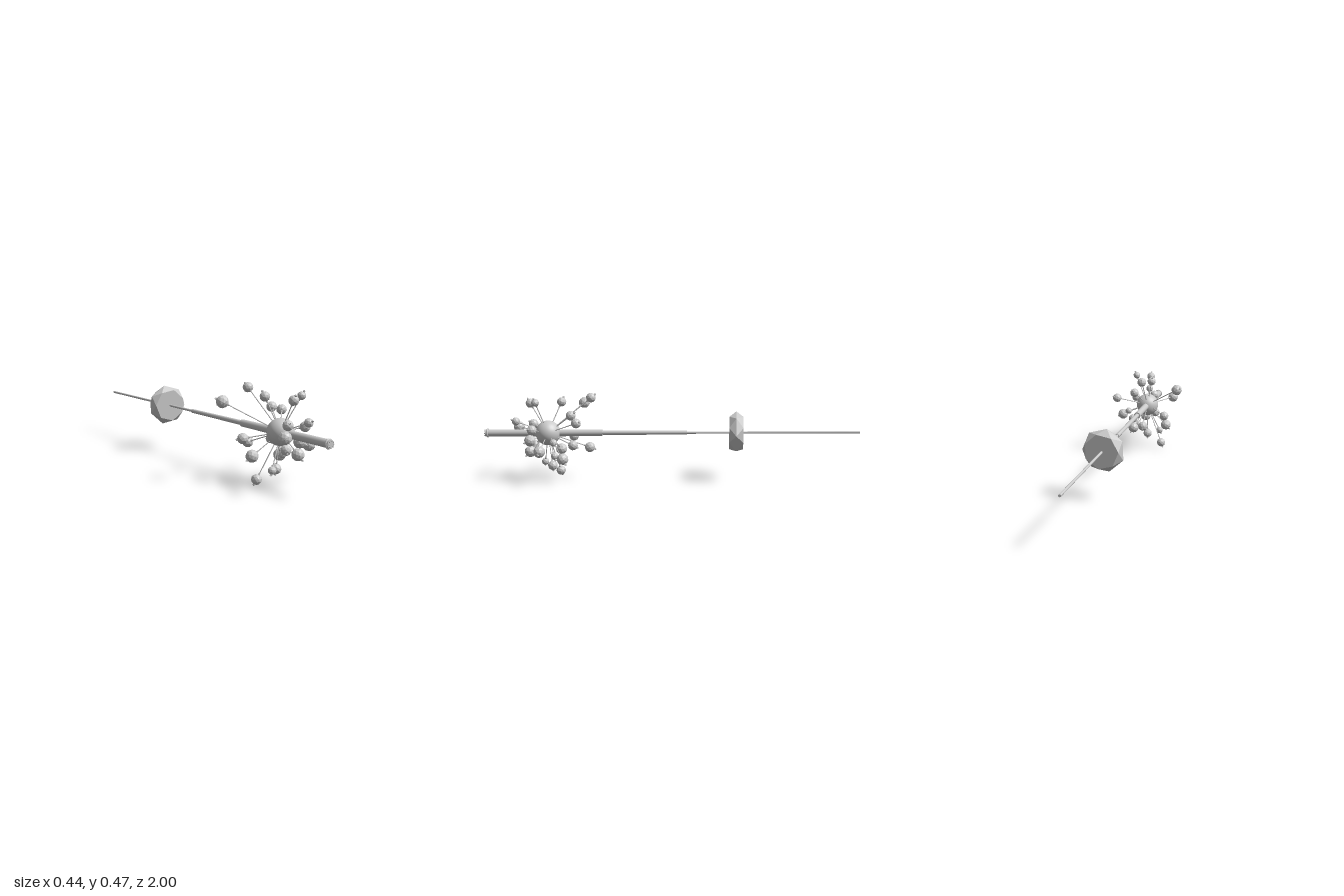
import * as THREE from 'three';
import { ConvexGeometry } from 'three/addons/geometries/ConvexGeometry.js';

const smooth = new THREE.MeshStandardMaterial({ color: 0xcccccc });
const faceted = new THREE.MeshStandardMaterial({ color: 0xcccccc, flatShading: true });
const HUB = new THREE.Vector3(0.022, 0.258, 0.66);
const UP = new THREE.Vector3(0, 1, 0);

function mesh(name, geometry, material, parent) {
  const m = new THREE.Mesh(geometry, material);
  m.name = name;
  parent.add(m);
  return m;
}

// Berry centres x, y, z and radius
const BERRIES = [
  [-0.19, 0.397, 0.49, 0.031], [-0.018, 0.42, 0.59, 0.025], [0.006, 0.445, 0.43, 0.026],
  [0.02, 0.417, 0.75, 0.025], [0.102, 0.428, 0.71, 0.021], [0.073, 0.357, 0.53, 0.026],
  [0.17, 0.33, 0.49, 0.026], [0.11, 0.285, 0.73, 0.026], [-0.105, 0.272, 0.84, 0.031],
  [-0.107, 0.222, 0.54, 0.027], [-0.105, 0.15, 0.61, 0.031], [-0.05, 0.09, 0.69, 0.02],
  [-0.077, 0.035, 0.61, 0.026], [0.015, 0.08, 0.64, 0.026], [0.09, 0.128, 0.575, 0.031],
  [0.052, 0.163, 0.75, 0.031], [0.062, 0.222, 0.75, 0.031], [0.13, 0.222, 0.615, 0.02],
  [0.182, 0.183, 0.68, 0.031], [0.08, 0.2, 0.52, 0.026], [-0.012, 0.19, 0.74, 0.026],
  [-0.003, 0.303, 0.74, 0.026], [0.045, 0.323, 0.825, 0.022], [0.07, 0.14, 0.62, 0.02],
  [0, 0.178, 0.44, 0.028],
];

// One stemmed berry, built along +y and aimed outward from the hub
function createBerry([x, y, z, r]) {
  const g = new THREE.Group();
  g.name = 'stemmedBerry';
  const dir = new THREE.Vector3(x, y, z).sub(HUB);
  const d = dir.length();
  g.position.copy(HUB);
  g.quaternion.setFromUnitVectors(UP, dir.normalize());

  mesh('stem', new THREE.CylinderGeometry(0.0025, 0.0025, d, 6), smooth, g).position.y = d / 2;
  mesh('berry', new THREE.IcosahedronGeometry(r, 1), faceted, g).position.y = d;
  mesh('neck', new THREE.CylinderGeometry(0.0055, 0.004, 0.008, 6), faceted, g).position.y = d - r - 0.002;
  mesh('tipCollar', new THREE.CylinderGeometry(0.006, 0.006, 0.006, 6), faceted, g).position.y = d + r + 0.001;
  mesh('tipPoint', new THREE.CylinderGeometry(0.002, 0.003, 0.004, 6), faceted, g).position.y = d + r + 0.006;
  return g;
}

// Faceted disc bead: a wide middle ring between two smaller flat faces
function createBead() {
  const points = [];
  const sides = 7;
  for (let i = 0; i < sides; i++) {
    const a = THREE.MathUtils.degToRad(100) + (i / sides) * Math.PI * 2;
    const b = a + Math.PI / sides;
    points.push(new THREE.Vector3(Math.cos(a) * 0.112, Math.sin(a) * 0.112, 0));
    for (const s of [-1, 1])
      points.push(new THREE.Vector3(Math.cos(b) * 0.09, Math.sin(b) * 0.09, s * 0.037));
  }
  return new ConvexGeometry(points);
}

export function createModel() {
  const model = new THREE.Group();
  model.name = 'berryPin';

  // Stepped rod along z, thick at the front and thin at the back
  const rod = new THREE.Group();
  rod.name = 'rod';
  rod.position.set(0.02, 0.26, 0);
  rod.rotation.x = 0.003;
  model.add(rod);
  const profile = [
    [0, -1], [0.0065, -1], [0.0065, -0.08], [0.0105, -0.08], [0.0125, 0.37],
    [0.0185, 0.37], [0.0195, 0.975], [0.0195, 0.994], [0, 0.994],
  ];
  // Each section has its own surface so the steps stay crisp
  for (let i = 0; i < profile.length - 1; i++) {
    const pair = [profile[i], profile[i + 1]].map(([r, h]) => new THREE.Vector2(r, h));
    mesh('rodSection', new THREE.LatheGeometry(pair, 20), smooth, rod).rotation.x = Math.PI / 2;
  }

  // Raised collar and small beads at the front end
  const collar = mesh('endCollar', new THREE.TorusGeometry(0.0195, 0.005, 8, 20), smooth, rod);
  collar.position.z = 0.982;
  for (let i = 0; i < 8; i++) {
    const a = (i / 8) * Math.PI * 2;
    const stud = mesh('endStud', new THREE.IcosahedronGeometry(0.003, 1), smooth, rod);
    stud.position.set(Math.cos(a) * 0.015, Math.sin(a) * 0.015, 0.997);
  }

  // Hub ball and its spray of berries
  mesh('hub', new THREE.SphereGeometry(0.066, 32, 20), smooth, model).position.copy(HUB);
  for (const berry of BERRIES) model.add(createBerry(berry));

  // Bead threaded on the thin part of the rod, slightly askew
  const bead = mesh('facetedBead', createBead(), faceted, model);
  bead.position.set(0.02, 0.262, -0.343);
  bead.rotation.y = -0.07;

  return model;
}
